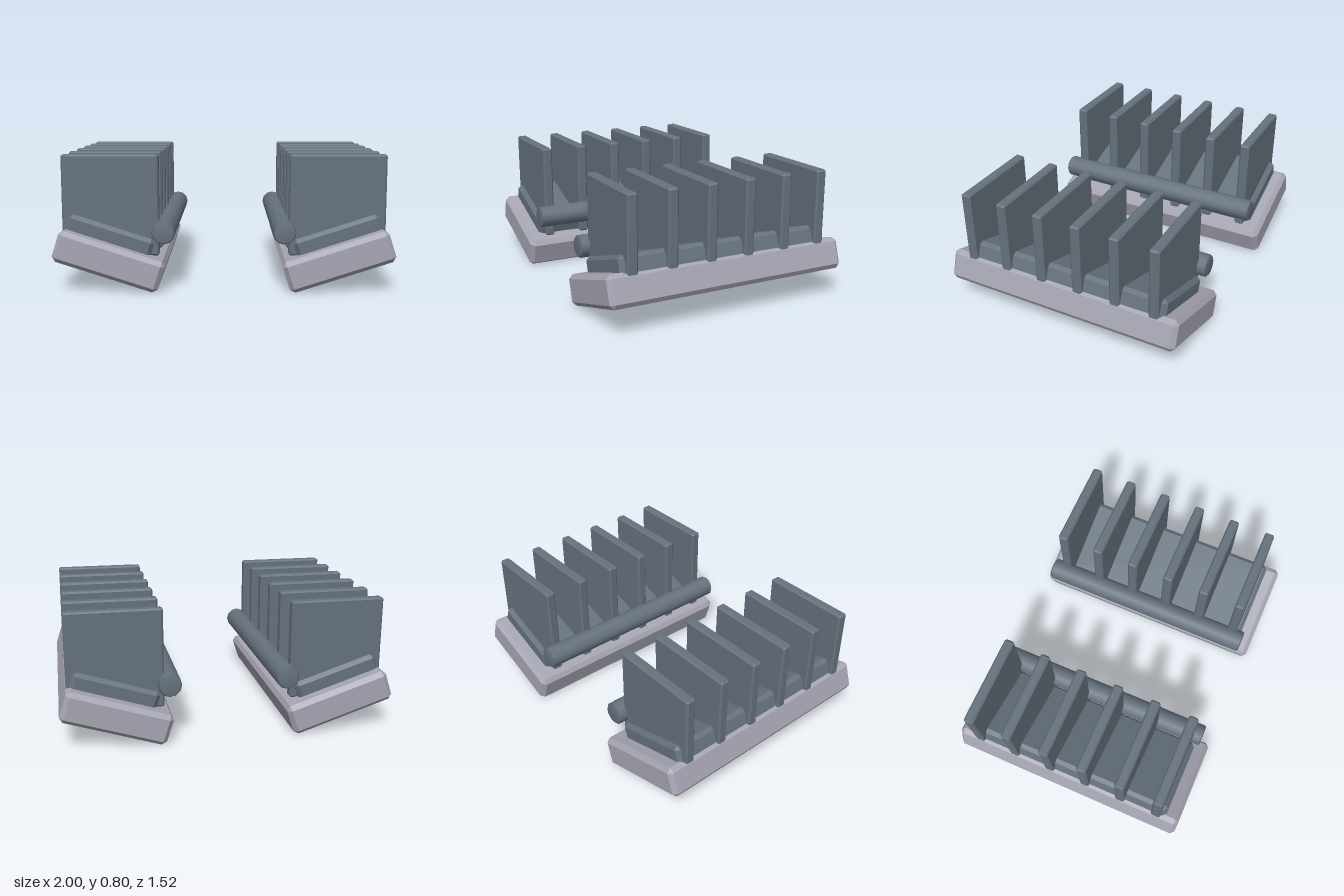
import * as THREE from 'three';
import { ConvexGeometry } from 'three/addons/geometries/ConvexGeometry.js';

// Box with every edge cut off at 45 degrees by c
function chamferBox(w, h, d, c) {
  const pts = [];
  for (const x of [-1, 1]) for (const y of [-1, 1]) for (const z of [-1, 1]) {
    const [a, b, e] = [w / 2, h / 2, d / 2];
    pts.push(new THREE.Vector3(x * a, y * (b - c), z * (e - c)));
    pts.push(new THREE.Vector3(x * (a - c), y * b, z * (e - c)));
    pts.push(new THREE.Vector3(x * (a - c), y * (b - c), z * e));
  }
  return new ConvexGeometry(pts);
}

export function createModel() {
  const model = new THREE.Group();
  model.name = 'finnedPair';

  const lightGrey = new THREE.MeshStandardMaterial({ color: 0xa6a5b3 });
  lightGrey.name = 'lightGrey';
  const slate = new THREE.MeshStandardMaterial({ color: 0x66727e });
  slate.name = 'slate';

  const baseGeo = chamferBox(0.645, 0.19, 1.525, 0.026);
  const padGeo = chamferBox(0.525, 0.125, 1.35, 0.022);
  const finGeo = chamferBox(0.57, 0.6, 0.063, 0.01);

  // Rod with slightly bevelled ends, laid along z
  const r = 0.07, len = 0.7, b = 0.01;
  const rodGeo = new THREE.LatheGeometry([
    [0, -len], [r - b, -len], [r, -len + b], [r, len - b], [r - b, len], [0, len],
  ].map(([x, y]) => new THREE.Vector2(x, y)), 12);
  rodGeo.rotateX(Math.PI / 2);

  for (const side of [-1, 1]) {
    const half = new THREE.Group();
    half.name = side > 0 ? 'leftHalf' : 'rightHalf';
    const add = (name, geo, mat, parent, x, y, z = 0) => {
      const m = new THREE.Mesh(geo, mat);
      m.name = name;
      m.position.set(side * x, y, z);
      parent.add(m);
    };

    // Tilted base slab with a thinner pad on top
    const foot = new THREE.Group();
    foot.name = 'tiltedFoot';
    foot.position.set(side * 0.671, 0.181, 0);
    foot.rotation.z = side * 0.314;
    add('base', baseGeo, lightGrey, foot, 0, 0);
    add('pad', padGeo, slate, foot, 0.043, 0.126);
    half.add(foot);

    // Upright fins and the rod along the inner edge
    for (let i = 0; i < 6; i++) {
      add('fin' + (i + 1), finGeo, slate, half, 0.668, 0.498, (i - 2.5) * 0.245);
    }
    add('rod', rodGeo, slate, half, 0.355, 0.345);
    model.add(half);
  }
  return model;
}
